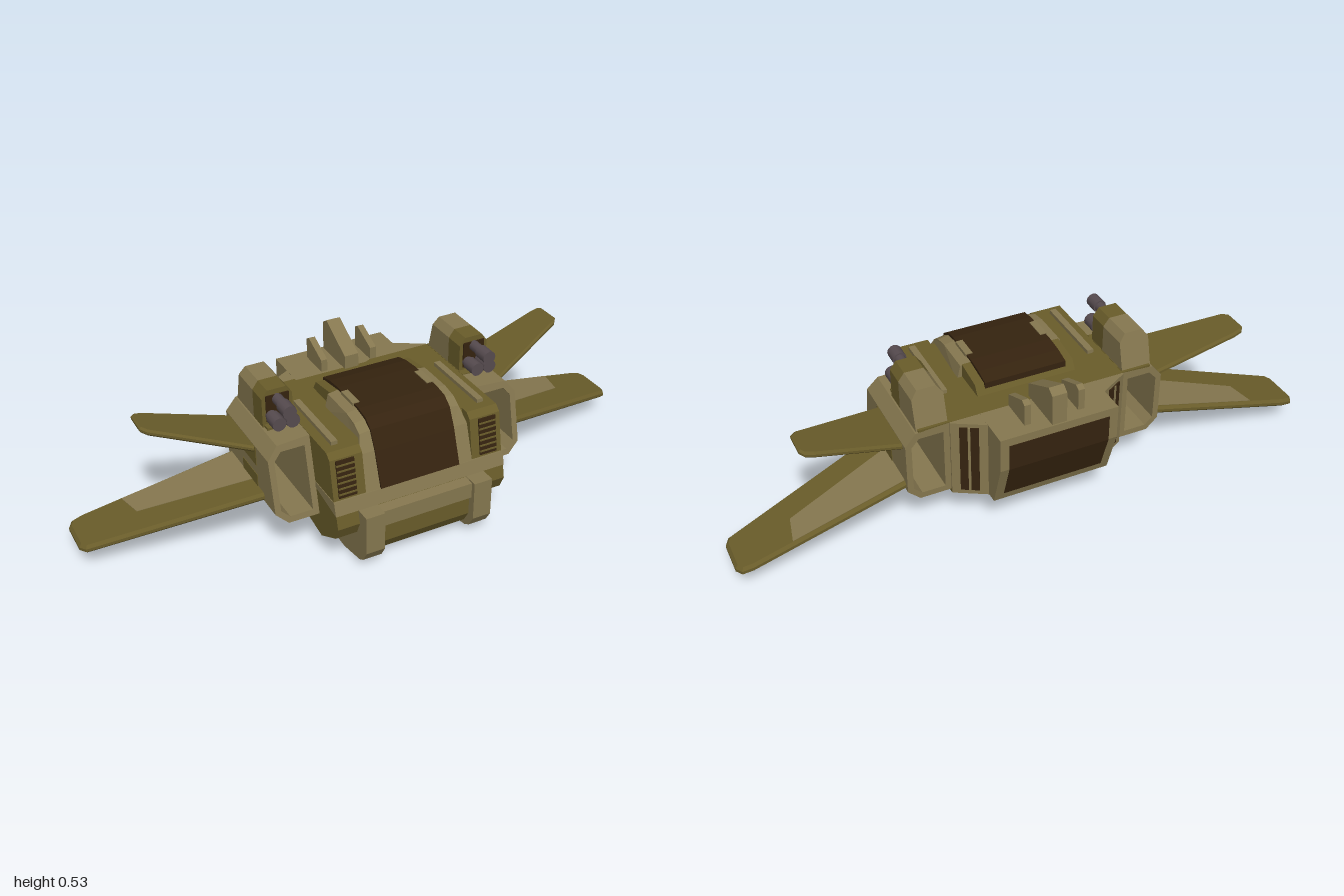
import * as THREE from 'three';

const mat = (name, color) => {
  const m = new THREE.MeshStandardMaterial({ color });
  m.name = name;
  return m;
};

export function createModel() {
  const tan = mat('tan', 0x85774f), olive = mat('olive', 0x695c2a);
  const brown = mat('dark brown', 0x35230f), steel = mat('gun grey', 0x564b4f);
  const root = new THREE.Group();
  root.name = 'gunship';

  const add = (name, geo, material) => {
    const mesh = new THREE.Mesh(geo, material);
    mesh.name = name;
    root.add(mesh);
    return mesh;
  };
  const shapeOf = pts => new THREE.Shape(pts.map(p => new THREE.Vector2(p[0], p[1])));
  const extrude = (shape, depth, bevel = 0) => new THREE.ExtrudeGeometry(shape, {
    depth, bevelEnabled: bevel > 0, bevelThickness: bevel, bevelSize: bevel, bevelOffset: -bevel,
    bevelSegments: 1, curveSegments: 6,
  });
  // Side profile of [z, y] points, swept from x0 to x1
  const slab = (pts, x0, x1) => extrude(shapeOf(pts), x1 - x0).rotateY(-Math.PI / 2).translate(x1, 0, 0);
  // Plan outline of [x, z] points, swept upward from y0 to y1
  const plan = (pts, y0, y1, bevel = 0) =>
    extrude(shapeOf(pts.map(p => [p[0], -p[1]])), y1 - y0 - 2 * bevel, bevel)
      .rotateX(-Math.PI / 2).translate(0, y0 + bevel, 0);
  const box = (w, h, d, x, y, z) => new THREE.BoxGeometry(w, h, d).translate(x, y, z);
  // Move vertices by a rule and refresh the flat normals
  const warp = (geo, rule) => {
    const g = geo.index ? geo.toNonIndexed() : geo, p = g.attributes.position;
    const v = new THREE.Vector3();
    for (let i = 0; i < p.count; i++) {
      rule(v.fromBufferAttribute(p, i));
      p.setXYZ(i, v.x, v.y, v.z);
    }
    g.computeVertexNormals();
    return g;
  };
  // Mirrored copy across x = 0 with corner order restored
  const mirrored = geo => {
    const g = geo.index ? geo.toNonIndexed() : geo.clone();
    g.scale(-1, 1, 1);
    for (const a of [g.attributes.position, g.attributes.normal]) {
      for (let i = 0; i < a.count; i += 3) {
        const t = [a.getX(i), a.getY(i), a.getZ(i)];
        a.setXYZ(i, a.getX(i + 1), a.getY(i + 1), a.getZ(i + 1));
        a.setXYZ(i + 1, ...t);
      }
    }
    return g;
  };
  const pair = (name, geo, material) => {
    add('left' + name, geo, material);
    add('right' + name, mirrored(geo), material);
  };

  // Hull: centre section and two cheeks
  const belly = [[-0.2, 0.132], [0.19, 0.065], [0.29, 0.12], [0.31, 0.165], [0.3, 0.21]];
  add('hullCentre', slab([...belly, [0.27, 0.25], [0.21, 0.408], [-0.2, 0.408]], -0.19, 0.19), olive);
  pair('HullCheek', slab([...belly, [0.285, 0.25], [0.26, 0.39], [0.24, 0.408], [-0.2, 0.408]], 0.19, 0.3), olive);
  add('noseLedge', slab([[0.302, 0.21], [0.29, 0.255], [0.16, 0.255], [0.16, 0.235]], -0.302, 0.302), tan);

  // Cheek vents with slats
  pair('CheekVent', slab([[0.28, 0.262], [0.286, 0.262], [0.266, 0.385], [0.26, 0.385]], 0.22, 0.282), brown);
  for (let i = 0; i < 6; i++) {
    const y = 0.275 + i * 0.019;
    pair('VentSlat' + (i + 1), box(0.062, 0.005, 0.008, 0.251, y, 0.285 - (y - 0.262) * 0.163), olive);
  }

  // Canopy frame, rear fairing and the wrapped dark canopy
  pair('CanopyFrame', warp(slab([[0.0, 0.39], [0.26, 0.255], [0.284, 0.255], [0.245, 0.37], [0.215, 0.428],
    [0.18, 0.448], [0.13, 0.457], [0.0, 0.457]], 0.138, 0.19), v => {
    if (v.x > 0.16 && v.y > 0.42) { v.x -= 0.014; v.y -= 0.006; }
  }), tan);
  add('canopyFairing', slab([[-0.12, 0.4], [0, 0.4], [0, 0.455], [-0.1, 0.44], [-0.12, 0.408]], -0.17, 0.17), olive);
  add('canopy', slab([[-0.11, 0.405], [0.1, 0.3], [0.26, 0.255], [0.29, 0.255], [0.25, 0.37], [0.22, 0.432],
    [0.187, 0.456], [0.14, 0.464], [0, 0.464], [-0.06, 0.458], [-0.11, 0.445]], -0.14, 0.14), brown);
  pair('CanopyClamp', box(0.024, 0.03, 0.08, 0.132, 0.452, 0.07), tan);
  pair('DeckRail', box(0.022, 0.016, 0.27, 0.258, 0.413, 0.075), tan);

  // Chin: two curved runners and an inset centre
  const runner = [[0.353, 0.21], [0.353, 0.075], [0.33, 0.037], [0.305, 0.022], [0.2, 0.001],
    [0.13, 0.003], [-0.04, 0.05], [-0.04, 0.11], [0.2, 0.11], [0.28, 0.21]];
  pair('ChinRunner', slab([...runner].reverse(), 0.16, 0.225), tan);
  add('chinCentre', slab([[0.325, 0.15], [0.325, 0.08], [0.3, 0.038], [0.2, 0.018], [0.13, 0.018],
    [-0.02, 0.06], [-0.02, 0.11], [0.2, 0.12], [0.28, 0.15]].reverse(), -0.16, 0.16), olive);
  add('chinBrow', slab([[0.338, 0.205], [0.338, 0.15], [0.27, 0.14], [0.27, 0.21]].reverse(), -0.16, 0.16), tan);

  // Rear engine block with dark grille faces
  add('engineBlock', slab([[-0.19, 0.132], [-0.19, 0.408], [-0.35, 0.408], [-0.35, 0.29], [-0.3, 0.135]], -0.2, 0.2), tan);
  add('rearGrilleUpper', slab([[-0.348, 0.29], [-0.348, 0.38], [-0.352, 0.38], [-0.352, 0.29]], -0.17, 0.17), brown);
  add('rearGrilleLower', slab([[-0.307, 0.165], [-0.348, 0.29], [-0.352, 0.29], [-0.312, 0.165]], -0.17, 0.17), brown);
  pair('RearShoulder', plan([[0.3, -0.19], [0.3, -0.205], [0.2, -0.262], [0.15, -0.262], [0.15, -0.19]], 0.132, 0.4075), tan);
  pair('ShoulderSlot', new THREE.BoxGeometry(0.06, 0.245, 0.008)
    .rotateY(Math.atan2(0.057, -0.1)).translate(0.25, 0.272, -0.2335), brown);
  pair('SlotBar', new THREE.BoxGeometry(0.008, 0.245, 0.014)
    .rotateY(Math.atan2(0.057, -0.1)).translate(0.25, 0.272, -0.2335), tan);

  // Tail fins on the rear deck
  add('centreFin', slab([[-0.18, 0.4], [-0.18, 0.455], [-0.315, 0.527], [-0.34, 0.51], [-0.345, 0.4]], -0.025, 0.025), tan);
  pair('SideFin', slab([[-0.2, 0.4], [-0.2, 0.45], [-0.292, 0.49], [-0.31, 0.48], [-0.312, 0.4]], 0.08, 0.102), tan);

  // Open side ducts with a raked front edge
  const duct = shapeOf([[0.295, 0.145], [0.405, 0.145], [0.445, 0.183], [0.445, 0.357], [0.41, 0.4], [0.295, 0.407]]);
  duct.holes.push(new THREE.Path([[0.32, 0.165], [0.32, 0.378], [0.4, 0.378], [0.425, 0.35], [0.425, 0.19], [0.398, 0.165]]
    .map(p => new THREE.Vector2(...p))));
  pair('Duct', warp(extrude(duct, 1), v => { v.z = v.z > 0.5 ? 0.125 + (0.393 - v.y) * 0.22 : -0.2; }), tan);
  pair('UpperWingRoot', box(0.008, 0.065, 0.11, 0.443, 0.322, -0.015), olive);
  pair('LowerWingRoot', box(0.008, 0.05, 0.115, 0.443, 0.23, -0.015), olive);
  pair('DuctTopPatch', box(0.1, 0.008, 0.235, 0.35, 0.405, -0.082), olive);

  // Gun housings: olive front, tan rear, dark face
  const housing = [[0.302, 0.395], [0.405, 0.395], [0.405, 0.5], [0.385, 0.527], [0.322, 0.527], [0.302, 0.5]];
  pair('GunHousing', extrude(shapeOf(housing), 0.07).translate(0, 0, -0.06), olive);
  pair('GunHousingRear', warp(extrude(shapeOf(housing), 1), v => {
    v.z = v.z > 0.5 ? -0.06 : -0.16 - (0.527 - v.y) * 0.26;
  }), tan);
  pair('GunFace', box(0.078, 0.09, 0.006, 0.3535, 0.464, 0.011), brown);

  // Three barrels on each side, upper one longest
  const barrel = (r, z0, z1, x, y) => new THREE.CylinderGeometry(r, r, z1 - z0, 12)
    .rotateX(Math.PI / 2).translate(x, y, (z0 + z1) / 2);
  [[0.354, 0.493, 0.108], [0.331, 0.44, 0.078], [0.377, 0.44, 0.078]].forEach(([x, y, end], i) => {
    pair('Barrel' + (i + 1), barrel(0.018, 0, end - 0.04, x, y), steel);
    pair('Muzzle' + (i + 1), barrel(0.023, end - 0.05, end, x, y), steel);
  });

  // Swept wings: upper pair rises, lower pair droops
  const wing = (name, pts, thick, y, slope, material, bevel) =>
    pair(name, warp(plan(pts, -thick / 2, thick / 2, bevel), v => { v.y += y + (v.x - 0.44) * slope; }), material);
  wing('UpperWing', [[0.43, 0.04], [0.43, -0.177], [0.72, -0.198], [0.75, -0.195], [0.762, -0.18],
    [0.762, -0.1], [0.745, -0.08]], 0.022, 0.343, 0.29, olive, 0.007);
  wing('LowerWing', [[0.43, 0.095], [0.43, -0.187], [0.95, -0.225], [0.985, -0.22], [1, -0.195],
    [1, -0.085], [0.985, -0.06], [0.95, -0.05]], 0.028, 0.2, -0.214, olive, 0.009);
  wing('LowerWingPanel', [[0.44, 0.0], [0.44, -0.175], [0.82, -0.205], [0.8, -0.11]], 0.006, 0.2125, -0.214, tan, 0);

  return root;
}
